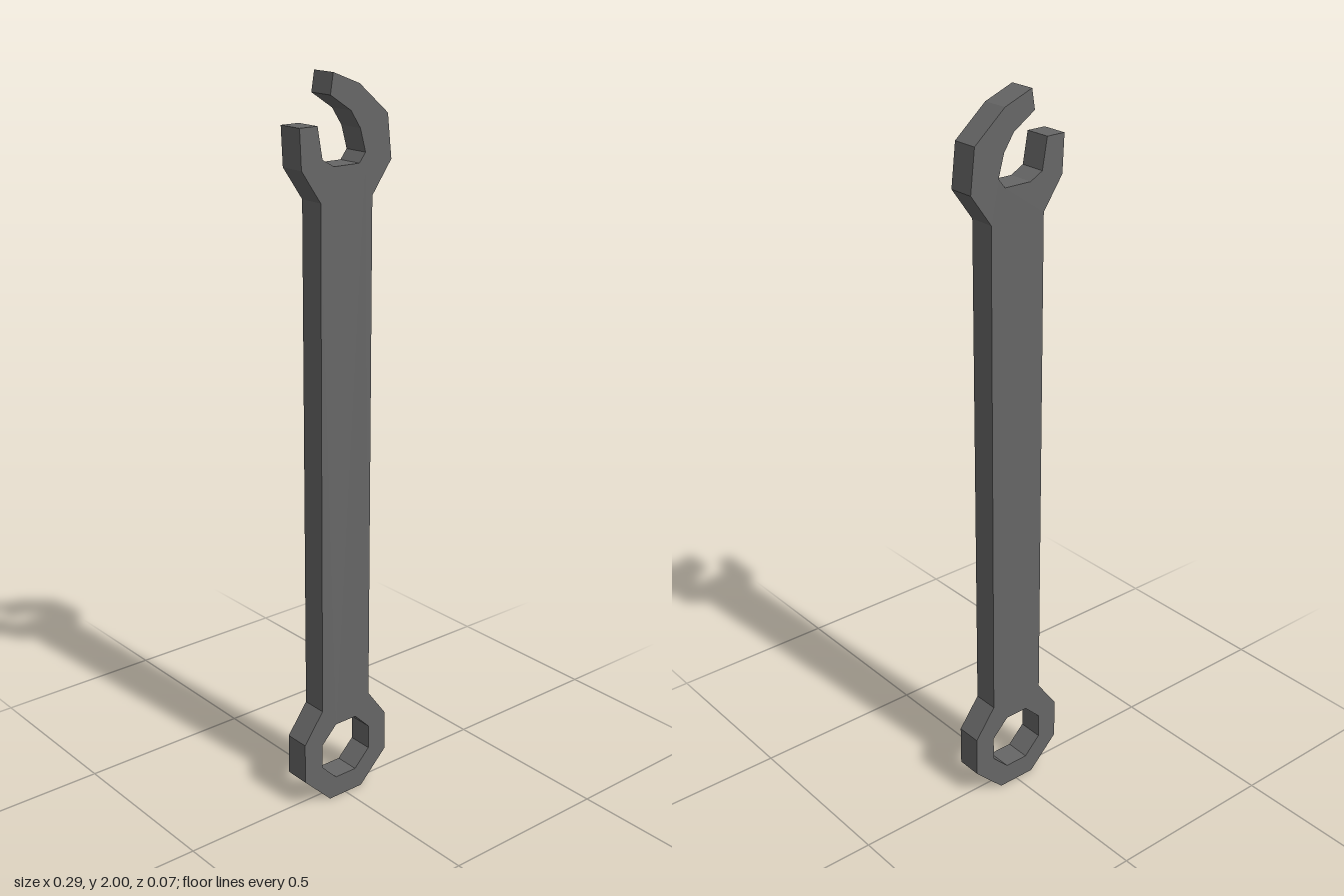
import * as THREE from 'three';

const THICKNESS = 0.073;
const toPoints = (list) => list.map(([x, y]) => new THREE.Vector2(x, y));

export function createModel() {
  const group = new THREE.Group();
  group.name = 'wrench';
  const steel = new THREE.MeshStandardMaterial({ color: 0x666666, flatShading: true });
  steel.name = 'dark steel';

  // Outline, counter-clockwise from the bottom of the ring
  const ringRight = [[0.057, 0], [0.145, 0.087], [0.145, 0.203], [0.083, 0.287]];
  const ringLeft = ringRight.map(([x, y]) => [-x, y]).reverse();
  const jawOuter = [[0.083, 1.69], [0.145, 1.775], [0.132, 1.89], [0.04, 1.968], [-0.043, 2]];
  const jawInner = [
    [-0.052, 1.947], [0.013, 1.905], [0.043, 1.86], [0.06, 1.8],
    [0.04, 1.775], [-0.04, 1.775], [-0.077, 1.795],
  ];
  const shortJaw = [[-0.092, 1.877], [-0.147, 1.877], [-0.142, 1.775], [-0.083, 1.69]];
  const outline = new THREE.Shape(
    toPoints([...ringRight, ...jawOuter, ...jawInner, ...shortJaw, ...ringLeft]));

  // Octagonal hole in the ring end
  const hole = [];
  for (let i = 0; i < 8; i++) {
    const a = (i + 0.5) * Math.PI / 4;
    hole.push([0.091 * Math.cos(a), 0.146 + 0.091 * Math.sin(a)]);
  }
  outline.holes.push(new THREE.Path(toPoints(hole)));

  // Flat bar cut to the outline
  const geometry = new THREE.ExtrudeGeometry(outline, { depth: THICKNESS, bevelEnabled: false });
  geometry.translate(0, 0, -THICKNESS / 2);
  const body = new THREE.Mesh(geometry, steel);
  body.name = 'wrenchBody';
  group.add(body);
  return group;
}
